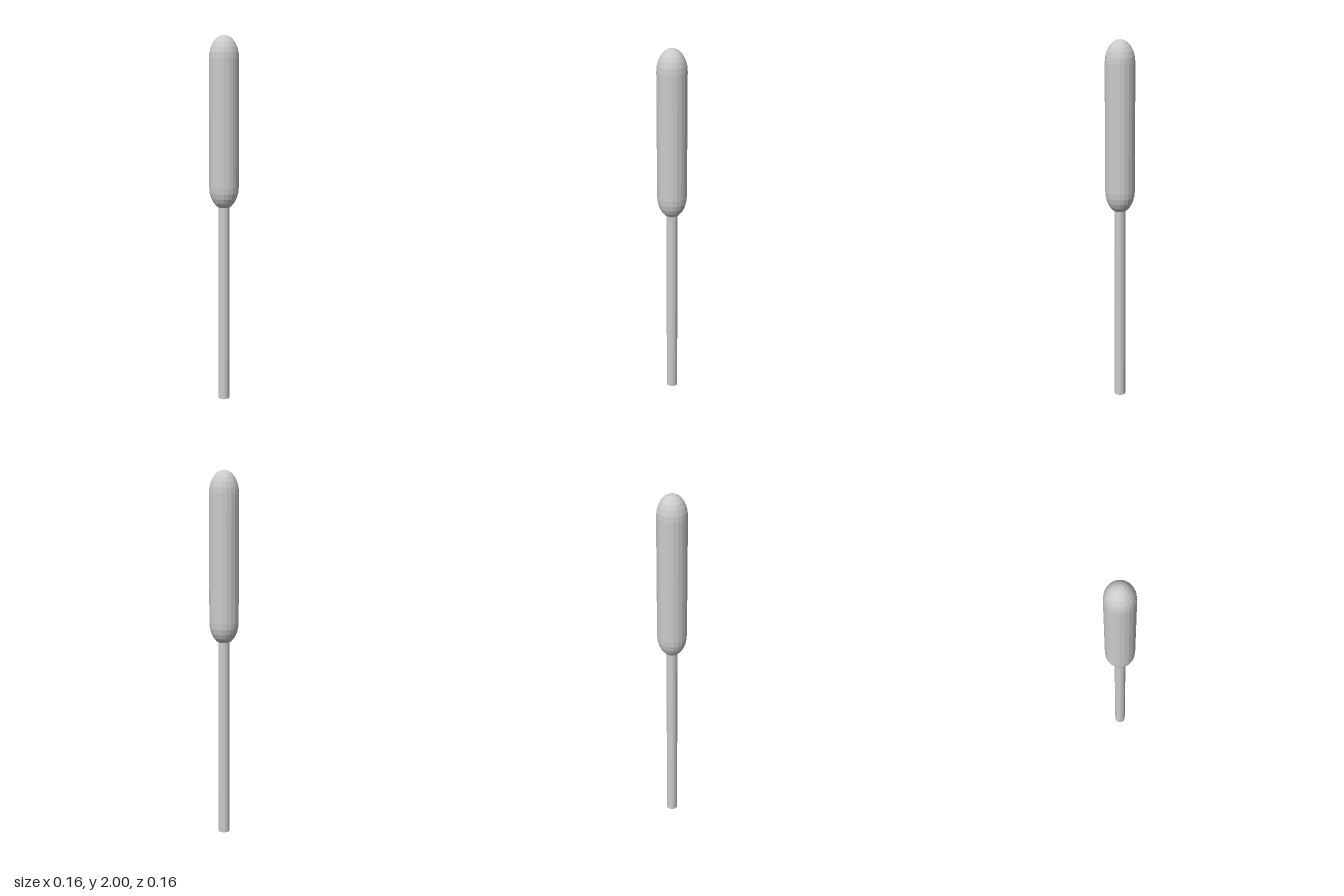
import * as THREE from 'three';

const SIDES = 20;

export function createModel() {
  const group = new THREE.Group();
  const material = new THREE.MeshStandardMaterial({ color: 0xcccccc, flatShading: true });

  const addPart = (name, geometry, y = 0) => {
    const mesh = new THREE.Mesh(geometry, material);
    mesh.name = name;
    mesh.position.y = y;
    group.add(mesh);
  };

  // Straight round stick, its top hidden inside the head
  const stickHeight = 1.2;
  addPart('stick', new THREE.CylinderGeometry(0.03, 0.03, stickHeight, SIDES), stickHeight / 2);

  // Long head with stretched dome ends
  const radius = 0.08, domeHeight = 0.12, steps = 6;
  const bottom = 1.19, top = 2 - domeHeight;
  const profile = [];
  const addDome = (centre, from, to) => {
    for (let i = 0; i <= steps; i++) {
      const a = THREE.MathUtils.lerp(from, to, i / steps);
      profile.push(new THREE.Vector2(
        Math.max(0, radius * Math.cos(a)), centre + domeHeight * Math.sin(a)));
    }
  };
  addDome(bottom, -Math.PI / 2, 0);
  addDome(top, 0, Math.PI / 2);
  addPart('head', new THREE.LatheGeometry(profile, SIDES));

  return group;
}
